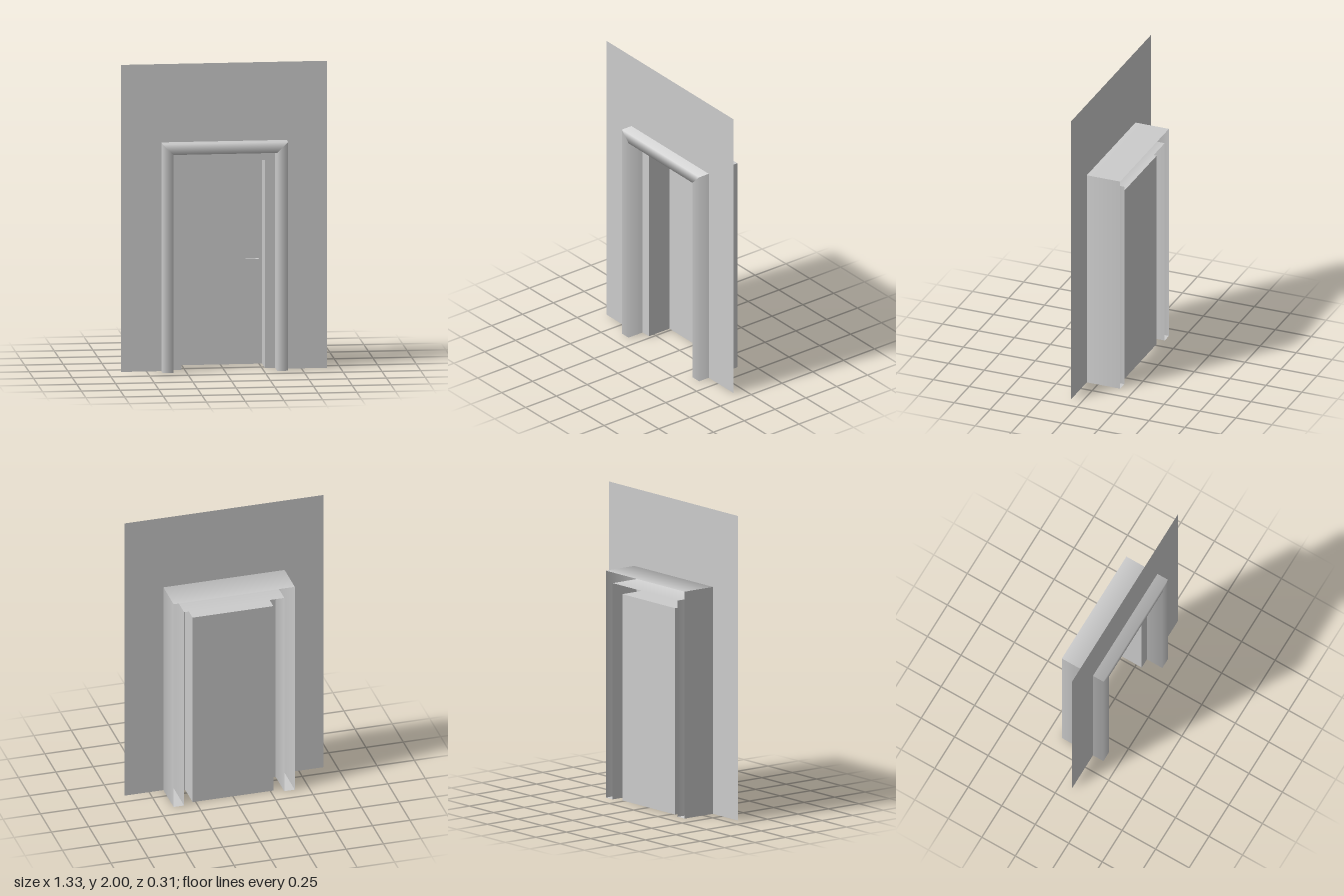
import * as THREE from 'three';

const material = new THREE.MeshStandardMaterial({ color: 0xcccccc, side: THREE.DoubleSide });
const HEAD = 1.085; // an arch of half width o has its head at o + HEAD
const WALL_Z = 0.077, DOOR_Z = -0.127, DEPTH = 0.155;
const OUTER = 0.405, INNER = 0.335, REVEAL = 0.27;

function part(name, geometry, x = 0, y = 0, z = 0) {
  const mesh = new THREE.Mesh(geometry, material);
  mesh.name = name;
  mesh.position.set(x, y, z);
  return mesh;
}

// Sweeps a profile up one side, across the head and down the other with mitred corners.
// Profile points are [half width, z, outward normal, z normal].
function archSweep(profile, smooth) {
  const pos = [], nor = [], idx = [];
  const out = [[-1, 0], [0, 1], [1, 0]];
  for (let arm = 0; arm < 3; arm++) {
    const base = pos.length / 3;
    for (const [o, z, no = 0, nz = 1] of profile) {
      const path = [[-o, 0], [-o, o + HEAD], [o, o + HEAD], [o, 0]];
      const n = new THREE.Vector3(out[arm][0] * no, out[arm][1] * no, nz).normalize();
      for (const [x, y] of [path[arm], path[arm + 1]]) {
        pos.push(x, y, z);
        nor.push(n.x, n.y, n.z);
      }
    }
    for (let i = 0; i < profile.length - 1; i++) {
      const a = base + 2 * i;
      idx.push(a, a + 2, a + 1, a + 1, a + 2, a + 3);
    }
  }
  const g = new THREE.BufferGeometry();
  g.setAttribute('position', new THREE.Float32BufferAttribute(pos, 3));
  g.setAttribute('normal', new THREE.Float32BufferAttribute(nor, 3));
  g.setIndex(idx);
  if (smooth) return g;
  const flat = g.toNonIndexed();
  flat.computeVertexNormals();
  return flat;
}

export function createModel() {
  const model = new THREE.Group();
  model.name = 'doorway';

  // Thin wall panel with the doorway cut out of its lower edge
  const wall = new THREE.Shape();
  const top = OUTER + HEAD, half = 0.665;
  [[-half, 0], [-OUTER, 0], [-OUTER, top], [OUTER, top], [OUTER, 0], [half, 0], [half, 2], [-half, 2]]
    .forEach(([x, y], i) => (i ? wall.lineTo(x, y) : wall.moveTo(x, y)));
  model.add(part('wall', new THREE.ShapeGeometry(wall), 0, 0, WALL_Z));

  // Hollow casing, open at the back, softly shaded across its front
  model.add(part('casing', archSweep([
    [OUTER, -DEPTH, 1, 0], [OUTER, DEPTH, 1, 1], [INNER, DEPTH, -1, 1], [INNER, -DEPTH, -1, 0],
  ], true)));

  // Feet closing the bottom of each casing post
  for (const side of [-1, 1]) {
    const foot = new THREE.PlaneGeometry(OUTER - INNER, 2 * DEPTH).rotateX(Math.PI / 2);
    model.add(part('casingFoot', foot, side * (OUTER + INNER) / 2));
  }

  // Stepped reveal leading back to the door
  model.add(part('reveal', archSweep([[INNER, 0.04], [REVEAL, 0.04], [REVEAL, DOOR_Z]], false)));

  // Door leaf
  const doorHeight = REVEAL + HEAD;
  model.add(part('door', new THREE.PlaneGeometry(2 * REVEAL, doorHeight), 0, doorHeight / 2, DOOR_Z));

  // Lever handle on a short stem
  const handle = new THREE.Group();
  handle.name = 'handle';
  handle.add(
    part('lever', new THREE.BoxGeometry(0.085, 0.018, 0.012), 0.202, 0.68, -0.1),
    part('stem', new THREE.BoxGeometry(0.018, 0.018, 0.021), 0.235, 0.68, -0.1165),
  );
  model.add(handle);
  return model;
}
